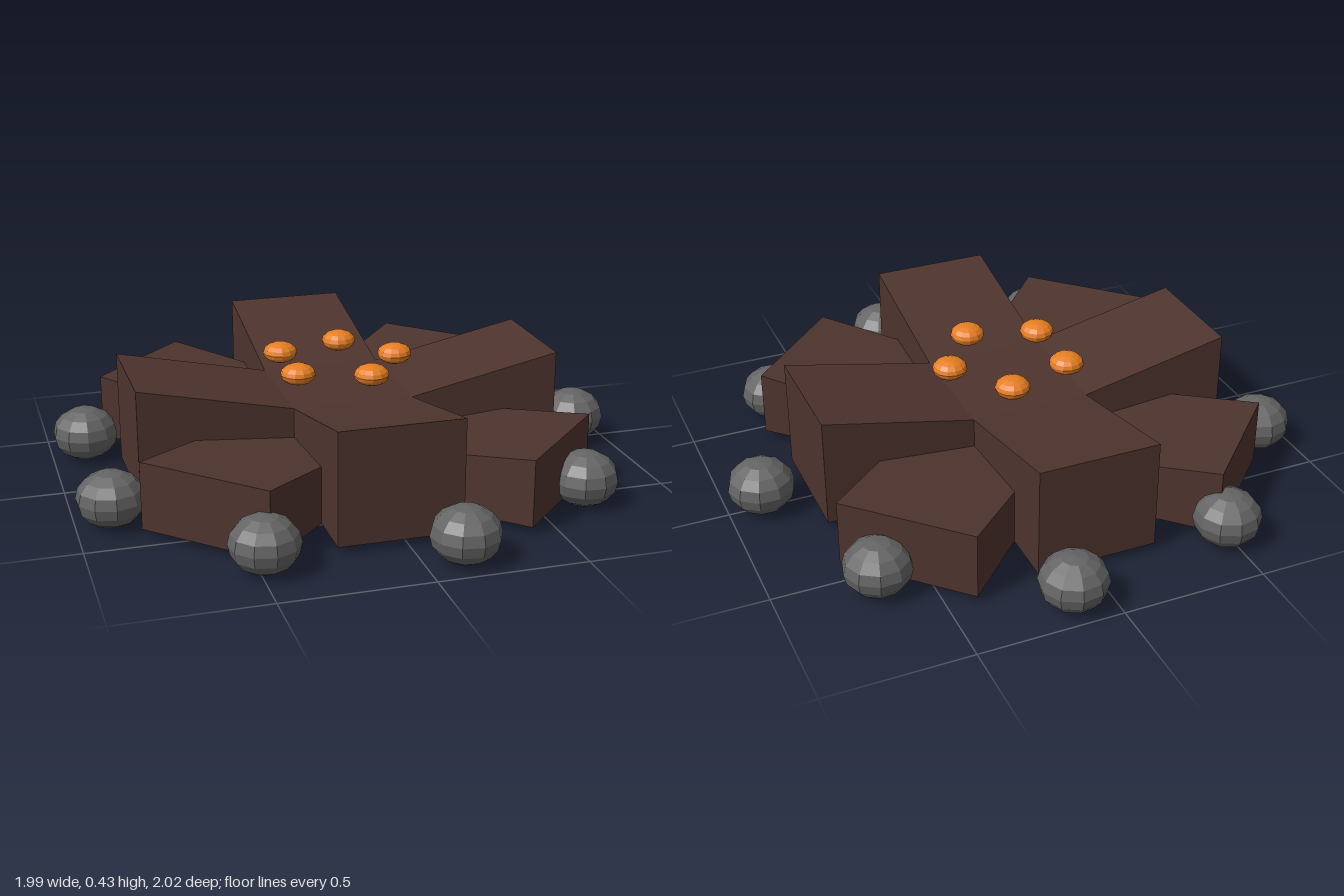
import * as THREE from 'three';

const wood = new THREE.MeshStandardMaterial({ color: 0x4e342e, flatShading: true });
wood.name = 'dark wood';
const stone = new THREE.MeshStandardMaterial({ color: 0x646464, flatShading: true });
stone.name = 'grey stone';
const glow = new THREE.MeshStandardMaterial({ color: 0xe67e22, flatShading: true });
glow.name = 'orange ember';

const HALF = 0.21;      // half width of a log
const REACH = 0.742;    // centre to log end
const HUB_H = 0.275;    // height at the hub
const END_H = 0.387;    // height at the log end

// One log: side profile rising outward, extruded across its width
function logGeometry() {
  const s = new THREE.Shape();
  s.moveTo(HALF, 0);
  s.lineTo(REACH, 0);
  s.lineTo(REACH, END_H);
  s.lineTo(HALF, HUB_H);
  s.closePath();
  return new THREE.ExtrudeGeometry(s, { depth: HALF * 2, bevelEnabled: false }).translate(0, 0, -HALF);
}

// Four logs around a square hub
function logCross(name) {
  const g = new THREE.Group();
  g.name = name;
  const hub = new THREE.Mesh(new THREE.BoxGeometry(HALF * 2, HUB_H, HALF * 2).translate(0, HUB_H / 2, 0), wood);
  hub.name = 'hub';
  g.add(hub);
  const geo = logGeometry();
  for (let i = 0; i < 4; i++) {
    const log = new THREE.Mesh(geo, wood);
    log.name = 'log';
    log.rotation.y = i * Math.PI / 2;
    g.add(log);
  }
  g.position.y = 0.03;
  return g;
}

// Evenly spaced flattened balls on a circle
function ring(name, count, radius, y, geo, mat) {
  const g = new THREE.Group();
  g.name = name + 'Ring';
  for (let i = 0; i < count; i++) {
    const a = (i / count) * Math.PI * 2;
    const m = new THREE.Mesh(geo, mat);
    m.name = name;
    m.position.set(Math.cos(a) * radius, y, Math.sin(a) * radius);
    m.rotation.y = -a;
    g.add(m);
  }
  return g;
}

export function createModel() {
  const model = new THREE.Group();
  model.name = 'campfire';

  // Tall upright cross and lower, wider diagonal cross
  model.add(logCross('tallLogs'));
  const low = logCross('lowLogs');
  low.scale.set(1.15, 0.6, 1.15);
  low.rotation.y = Math.PI / 4;
  model.add(low);

  // Stones around the fire and embers over the hub
  const stoneGeo = new THREE.SphereGeometry(0.116, 10, 8).scale(1, 0.82, 1);
  model.add(ring('stone', 9, 0.908, 0.098, stoneGeo, stone));
  const emberGeo = new THREE.SphereGeometry(0.061, 12, 8).scale(1, 0.6, 1);
  model.add(ring('ember', 5, 0.213, 0.398, emberGeo, glow));

  model.children.forEach((c) => { c.position.x = -0.028; c.position.z = -0.003; });
  return model;
}
